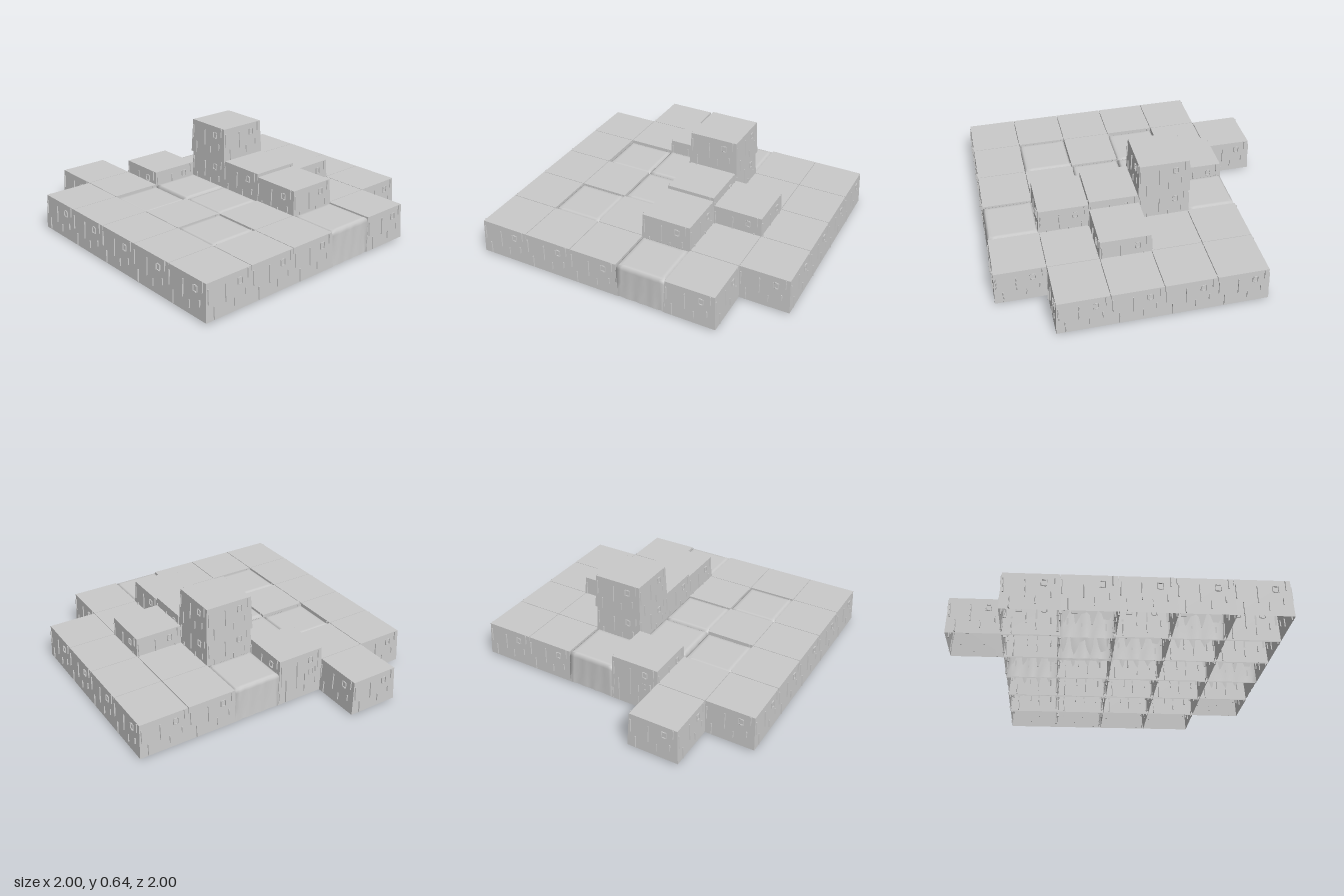
import * as THREE from 'three';
import { mergeGeometries } from 'three/addons/utils/BufferGeometryUtils.js';

const PITCH = 0.328, HEIGHT = 0.23, FOOT = 0.172, CROWN = 0.162;

// Open-bottomed square block lofted through [half width, y, ripple] rings, closed by a flat top
function loft(rings, perSide, smooth) {
  const pos = [], index = [], n = perSide * 4;
  for (const [h, y, ripple] of rings) {
    for (let k = 0; k < n; k++) {
      const side = Math.floor(k / perSide), i = k % perSide;
      const u = (2 * i / perSide - 1) * h;
      const w = h - (i ? ripple * (0.5 + 0.5 * Math.sin(k * 2.4)) : 0);
      const a = side * Math.PI / 2, c = Math.round(Math.cos(a)), s = Math.round(Math.sin(a));
      pos.push(u * c + w * s, y, w * c - u * s);
    }
  }
  for (let r = 0; r < rings.length - 1; r++) {
    for (let k = 0; k < n; k++) {
      const a = r * n + k, b = r * n + (k + 1) % n;
      index.push(a, b, b + n, a, b + n, a + n);
    }
  }
  const top = (rings.length - 1) * n, centre = pos.length / 3;
  pos.push(0, rings.at(-1)[1], 0);
  for (let k = 0; k < n; k++) index.push(top + k, top + (k + 1) % n, centre);
  let g = new THREE.BufferGeometry();
  g.setAttribute('position', new THREE.Float32BufferAttribute(pos, 3));
  g.setIndex(index);
  if (!smooth) g = g.toNonIndexed();
  g.computeVertexNormals();
  return g;
}

// Wall relief: [offset along the wall, centre y, width, height]
const RELIEF = [
  [-0.115, 0.045, 0.01, 0.08],
  [-0.03, 0.135, 0.01, 0.11],
  [0.135, 0.198, 0.01, 0.06],
  [0.115, 0.095, 0.012, 0.04],
  [0.075, 0.19, 0.036, 0.006],
  [0.075, 0.152, 0.036, 0.006],
  [0.059, 0.171, 0.006, 0.038],
  [0.091, 0.171, 0.006, 0.038],
  [0.03, 0.06, 0.008, 0.05],
  [-0.152, 0.15, 0.012, 0.09],
];

// Chiselled ridge: a box whose outer face is narrowed
function ridge(w, h) {
  const g = new THREE.BoxGeometry(w, h, 0.014).toNonIndexed();
  const p = g.attributes.position;
  for (let i = 0; i < p.count; i++) {
    if (p.getZ(i) > 0) p.setX(i, p.getX(i) * 0.4);
  }
  g.computeVertexNormals();
  return g;
}

function reliefGeometry() {
  const parts = [];
  for (let side = 0; side < 4; side++) {
    for (const [u, y, w, h] of RELIEF) {
      const g = ridge(w, h);
      g.rotateX(-(FOOT - CROWN) / HEIGHT);
      g.translate(u, y, FOOT + (CROWN - FOOT) * y / HEIGHT);
      g.rotateY(side * Math.PI / 2);
      parts.push(g);
    }
  }
  return mergeGeometries(parts);
}

export function createModel() {
  const stone = new THREE.MeshStandardMaterial({ color: 0xcacaca, side: THREE.DoubleSide });
  stone.name = 'grey stone';
  const model = new THREE.Group();
  model.name = 'blockTerrain';

  const sharp = loft([[FOOT, 0, 0], [CROWN, HEIGHT, 0]], 1, false);
  const worn = loft([
    [FOOT, 0, 0.006], [0.168, 0.1, 0.01], [0.163, 0.2, 0.004],
    [0.159, 0.222, 0], [0.147, HEIGHT, 0], [0.13, HEIGHT, 0],
  ], 10, true);
  const relief = reliefGeometry();

  function addBlock(name, col, row, y, isWorn) {
    const block = new THREE.Group();
    block.name = name;
    const body = new THREE.Mesh(isWorn ? worn : sharp, stone);
    body.name = 'blockBody';
    block.add(body);
    if (!isWorn) {
      const marks = new THREE.Mesh(relief, stone);
      marks.name = 'wallRelief';
      block.add(marks);
    }
    block.position.set((col - 2.5) * PITCH, y, (row - 2.5) * PITCH - 0.006);
    model.add(block);
  }

  // Ground layer, back row first; o = block, s = worn block, . = empty
  const plan = ['.oooo.', '.ooooo', '.sooos', '.ossoo', 'oososo', '.ooooo'];
  plan.forEach((line, row) => [...line].forEach((c, col) => {
    if (c === '.') return;
    const low = col === 2 && row === 4;
    addBlock('groundBlock', col, row, low ? 0 : 0.01, c === 's');
  }));

  // Raised blocks: name, column, row, top height
  const raised = [
    ['towerLower', 2, 2, 0.415],
    ['towerUpper', 2, 2, 0.64],
    ['raisedBlock', 3, 2, 0.42],
    ['raisedBlock', 4, 2, 0.4],
    ['raisedBlock', 3, 1, 0.365],
    ['raisedBlock', 1, 3, 0.325],
  ];
  for (const [name, col, row, top] of raised) addBlock(name, col, row, top - HEIGHT, false);

  return model;
}
